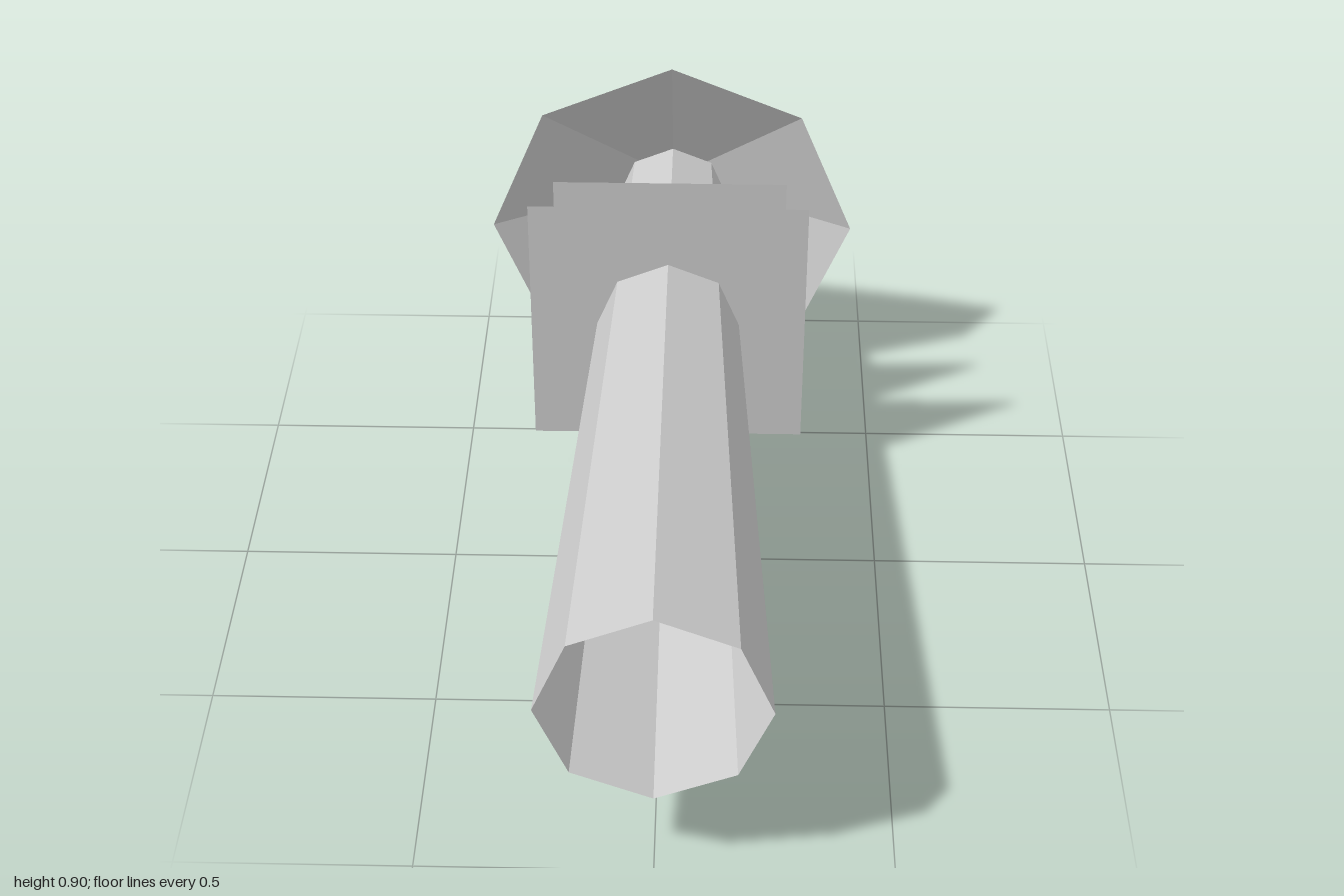
import * as THREE from 'three';

export function createModel() {
  const group = new THREE.Group();
  const grey = new THREE.MeshStandardMaterial({ color: 0xcccccc, side: THREE.DoubleSide, flatShading: true });
  grey.name = 'light grey';
  const axisHeight = 0.45;

  const add = (name, geometry, z) => {
    const mesh = new THREE.Mesh(geometry, grey);
    mesh.name = name;
    mesh.position.set(0, axisHeight, z);
    group.add(mesh);
  };

  // Open tapered octagonal tube, its narrow end tucked inside the cone
  const front = 1, back = -0.91;
  const tube = new THREE.CylinderGeometry(0.24, 0.138, front - back, 8, 1, true);
  add('taperedTube', tube.rotateX(Math.PI / 2), (front + back) / 2);

  // Hollow octagonal cone pointing backwards
  const cone = new THREE.ConeGeometry(0.45, 0.24, 8, 1, true);
  add('tailCone', cone.rotateX(-Math.PI / 2), -0.88);

  // Flat square plates across the tube
  add('largePlate', new THREE.PlaneGeometry(0.652, 0.652), -0.33);
  add('smallPlate', new THREE.PlaneGeometry(0.557, 0.557), -0.515);

  return group;
}
